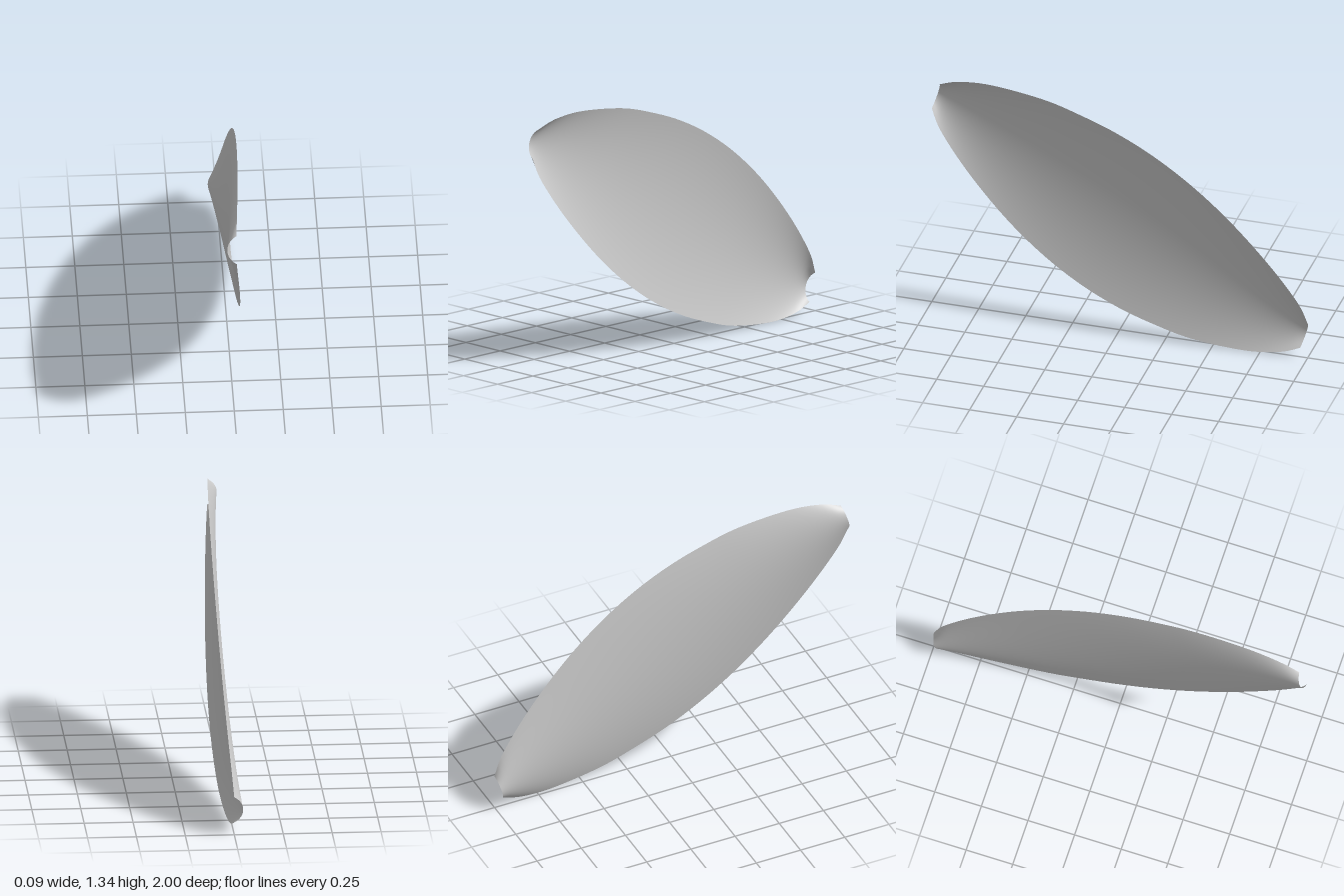
import * as THREE from 'three';

export function createModel() {
  const group = new THREE.Group();
  const grey = new THREE.MeshStandardMaterial({ color: 0xcccccc, side: THREE.DoubleSide });
  grey.name = 'light grey';

  // Upper rim of the shell as (z, y) about the centre; the lower rim is its half-turn copy.
  const rim = new THREE.SplineCurve([
    [0.96, 0.617], [0.85, 0.655], [0.67, 0.669], [0.4, 0.64], [0.2, 0.585], [0, 0.51],
    [-0.2, 0.405], [-0.4, 0.265], [-0.6, 0.085], [-0.8, -0.14], [-0.95, -0.35], [-1, -0.47],
  ].map(([z, y]) => new THREE.Vector2(z, y)));
  rim.arcLengthDivisions = 600;

  const centreY = 0.669, bend = 0.047, sag = 0.047;

  // Leaf shell: every crosswise section is a circular arc of equal depth,
  // so it is nearly flat in the middle and curls tightly at the ends.
  const geometry = new THREE.PlaneGeometry(1, 1, 64, 32);
  const pos = geometry.attributes.position;
  for (let i = 0; i < pos.count; i++) {
    const t = pos.getX(i) + 0.5;
    const k = pos.getY(i) * 2;
    const top = rim.getPointAt(t);
    const bottom = rim.getPointAt(1 - t).negate();
    const half = top.distanceTo(bottom) / 2;
    const radius = (half * half + sag * sag) / (2 * sag);
    const angle = k * Math.asin(half / radius);
    const p = bottom.lerp(top, 0.5 + 0.5 * radius * Math.sin(angle) / half);
    const s = 1 - 2 * t;
    const x = bend * (1 - s * s) - sag + radius * (1 - Math.cos(angle));
    pos.setXYZ(i, x, p.y + centreY, p.x);
  }
  geometry.computeVertexNormals();

  const shell = new THREE.Mesh(geometry, grey);
  shell.name = 'leafShell';
  group.add(shell);
  return group;
}
